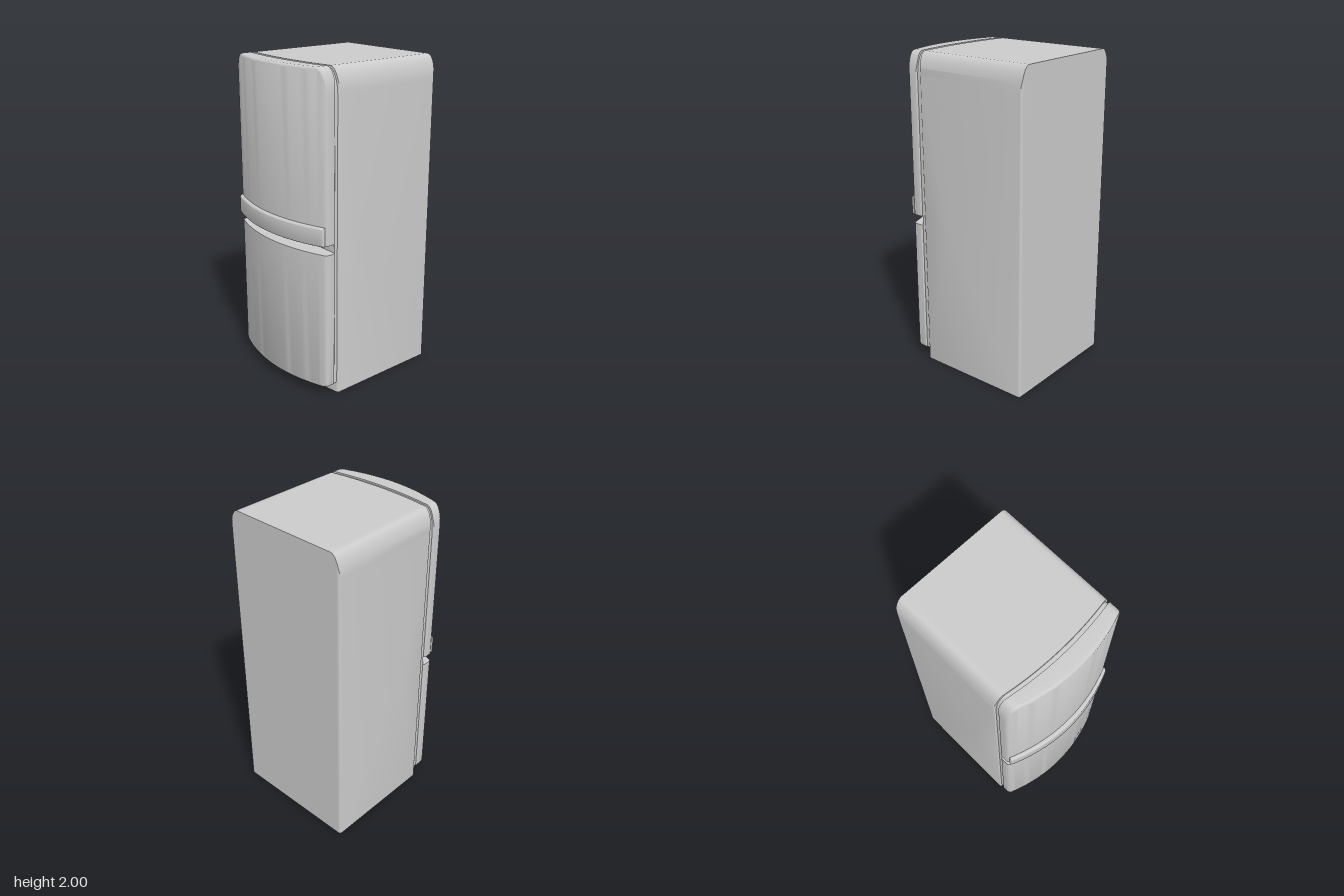
import * as THREE from 'three';
import { toCreasedNormals } from 'three/addons/utils/BufferGeometryUtils.js';

const material = new THREE.MeshStandardMaterial({ color: 0xcccccc });

// drop of a quarter round at distance t (0..1) along it
const round = (t) => 1 - Math.sqrt(Math.max(0, 1 - Math.min(1, Math.max(0, t)) ** 2));

// x positions, crowded towards the rounded sides
function stations(half) {
  const side = [];
  for (let k = 1; k <= 8; k++) side.push(half - 0.062 + 0.062 * Math.sin((k * Math.PI) / 16));
  const xs = side.map((x) => -x).reverse();
  for (let k = 0; k <= 20; k++) xs.push((half - 0.062) * (k / 10 - 1));
  return xs.concat(side);
}

// Bowed slab: y-z cross-sections lofted along x.
// corner/foot: height of the rounded upper/lower side corners; topBevel/bottomBevel: front edges;
// front/back: functions of x; notch: [y0, y1, z] recess across the front.
function slab(name, o) {
  const { half, bottom, top, front, back, corner = 0, foot = 0,
    topBevel = 0, bottomBevel = 0, r = 0.014, notch } = o;
  const pos = [], index = [];
  const xs = stations(half);
  let n = 0;
  for (const x of xs) {
    const ax = Math.abs(x);
    const yt = top - corner * round((ax - half + 0.062) / 0.062);
    const yb = bottom + foot * round((ax - half + 0.04) / 0.04);
    const drop = r * round((ax - half + r) / r);
    const zf = front(x) - drop, zb = back(x) + drop;
    const loop = [[yb, zb]];
    const bevel = (y, size, dir) => {
      for (let k = 0; k <= 4; k++) {
        const a = ((dir > 0 ? k : 4 - k) * Math.PI) / 8;
        loop.push([y + dir * size * (1 - Math.cos(a)), zf - size * (1 - Math.sin(a))]);
      }
    };
    if (bottomBevel) bevel(yb, bottomBevel, 1); else loop.push([yb, zf]);
    if (notch) {
      const z = Math.min(zf, notch[2]);
      loop.push([notch[0], zf], [notch[0], z], [notch[1], z], [notch[1], zf]);
    }
    if (topBevel) bevel(yt, topBevel, -1); else loop.push([yt, zf]);
    loop.push([yt, zb]);
    n = loop.length;
    for (const [y, z] of loop) pos.push(x, y, z);
  }
  // skin
  const last = (xs.length - 1) * n;
  for (let i = 0; i < last; i += n) {
    for (let j = 0; j < n; j++) {
      const k = (j + 1) % n;
      index.push(i + j, i + n + j, i + k, i + k, i + n + j, i + n + k);
    }
  }
  // end caps
  const c = pos.length / 3;
  for (const start of [0, last]) {
    let y = 0, z = 0;
    for (let j = 0; j < n; j++) {
      y += pos[(start + j) * 3 + 1] / n;
      z += pos[(start + j) * 3 + 2] / n;
    }
    pos.push(pos[start * 3], y, z);
  }
  for (let j = 0; j < n; j++) {
    const k = (j + 1) % n;
    index.push(c, j, k, c + 1, last + k, last + j);
  }
  const geo = new THREE.BufferGeometry();
  geo.setAttribute('position', new THREE.Float32BufferAttribute(pos, 3));
  geo.setIndex(index);
  const mesh = new THREE.Mesh(toCreasedNormals(geo, 0.6), material);
  mesh.name = name;
  return mesh;
}

export function createModel() {
  const group = new THREE.Group();
  group.name = 'refrigerator';
  const bow = (z, k) => (x) => z - k * x * x;
  const doorFront = bow(0.45, 0.48);
  const doorBack = bow(0.34, 0.24);

  // cabinet with rounded upper corners and a slightly bowed front
  group.add(slab('cabinet', {
    half: 0.422, bottom: 0, top: 2, corner: 0.15,
    front: bow(0.315, 0.22), back: () => -0.475, notch: [0.93, 0.985, 0.29],
  }));

  // seal set in between the cabinet and the doors
  group.add(slab('doorSeal', {
    half: 0.412, bottom: 0.07, top: 1.99, corner: 0.15, r: 0.003,
    front: bow(0.343, 0.24), back: () => 0.25, notch: [0.93, 0.985, 0.3],
  }));

  // doors
  group.add(slab('upperDoor', {
    half: 0.422, bottom: 0.988, top: 2, corner: 0.15, topBevel: 0.02,
    front: doorFront, back: doorBack,
  }));
  group.add(slab('lowerDoor', {
    half: 0.422, bottom: 0.06, top: 0.93, foot: 0.02, bottomBevel: 0.02,
    front: doorFront, back: doorBack,
  }));

  // full-width handle along the lower edge of the upper door
  group.add(slab('handle', {
    half: 0.415, bottom: 0.985, top: 1.1, topBevel: 0.012, bottomBevel: 0.012, r: 0.006,
    front: bow(0.475, 0.5), back: () => 0.368,
  }));

  return group;
}
